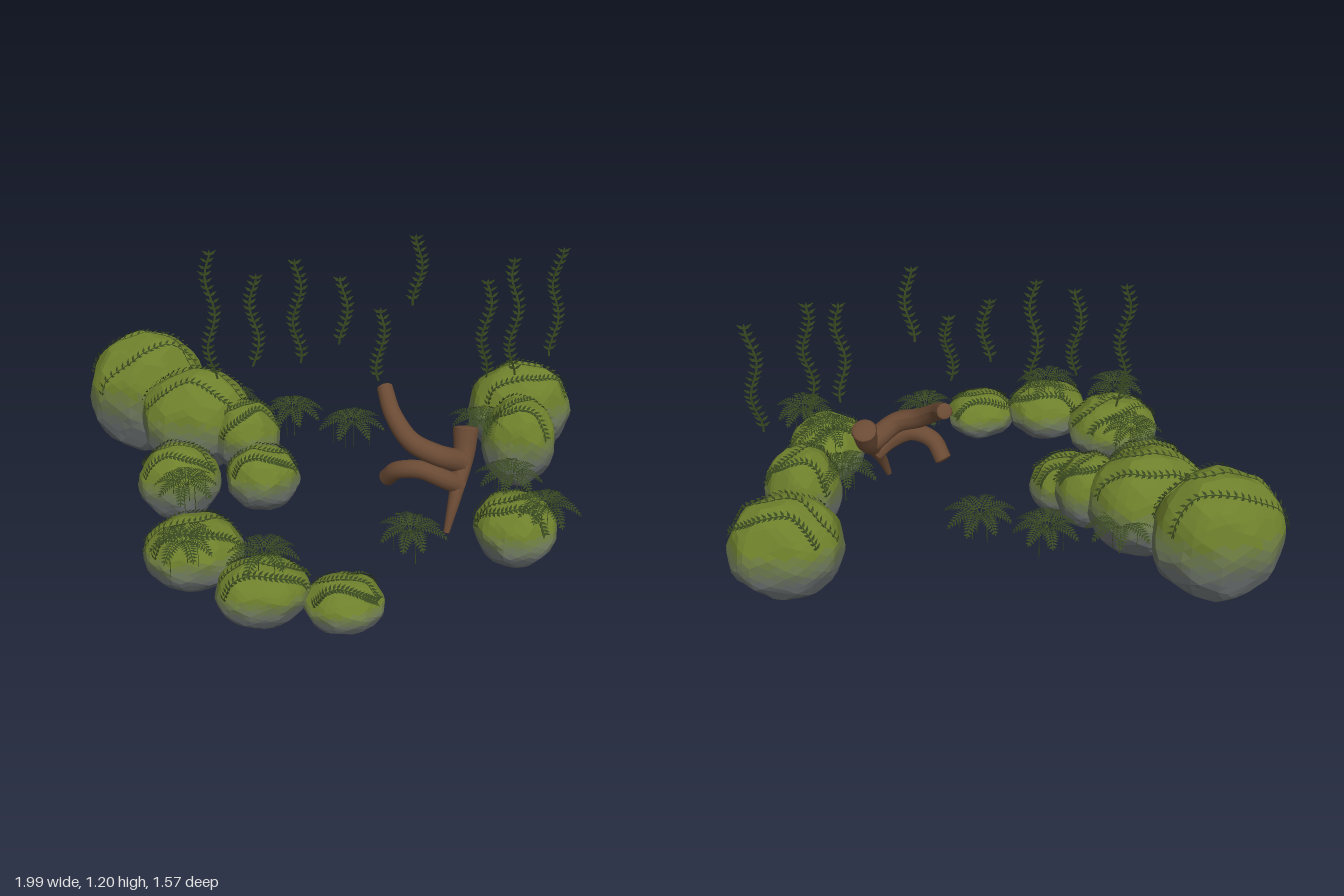
import * as THREE from 'three';

let seed = 7;
const rnd = () => ((seed = (seed * 16807) % 2147483647) / 2147483647);
const V = (x, y, z) => new THREE.Vector3(x, y, z);
const UP = V(0, 1, 0);

const LEAF = new THREE.MeshStandardMaterial({ color: 0x38481f, side: THREE.DoubleSide });
const WOOD = new THREE.MeshStandardMaterial({ color: 0x6a4a34 });
const BANDS = 6;
const rockMats = Array.from({ length: BANDS }, (_, i) => new THREE.MeshStandardMaterial({
  color: new THREE.Color(0x686d6e).lerp(new THREE.Color(0x6e802c), i / (BANDS - 1)), flatShading: true,
}));

function triangleMesh(points, material, name) {
  const geo = new THREE.BufferGeometry().setFromPoints(points);
  geo.computeVertexNormals();
  const mesh = new THREE.Mesh(geo, material);
  mesh.name = name;
  return mesh;
}

// Pointed leaf: kite of two triangles from base along dir, widened along side
function leaf(out, base, dir, side, length, width) {
  const mid = base.clone().addScaledVector(dir, length * 0.4);
  const tip = base.clone().addScaledVector(dir, length);
  const a = mid.clone().addScaledVector(side, width / 2);
  const b = mid.clone().addScaledVector(side, -width / 2);
  out.push(base, a, tip, base, tip, b);
}

// Thin flat stem between two points
function stem(out, a, b, side, width) {
  const s = side.clone().multiplyScalar(width / 2);
  const [p, q, r, t] = [a.clone().sub(s), a.clone().add(s), b.clone().add(s), b.clone().sub(s)];
  out.push(p, q, r, p, r, t);
}

// Rock: sphere cut by scattered planes, coloured from stone below to moss above
function rock(cx, cy, cz, rx, ry, rz) {
  const group = new THREE.Group();
  group.name = 'mossyRock';
  const planes = [];
  for (let i = 0; i < 46; i++) {
    const y = 1 - (2 * (i + 0.5)) / 46, a = i * 2.39996 + rnd() * 0.5, r = Math.sqrt(1 - y * y);
    planes.push({ n: V(Math.cos(a) * r, y, Math.sin(a) * r), d: 0.93 + rnd() * 0.07 });
  }
  const surface = (dir, lift = 1) => {
    let r = 1.02;
    for (const { n, d } of planes) {
      const c = n.dot(dir);
      if (c > 0.1) r = Math.min(r, d / c);
    }
    return V(dir.x * rx, dir.y * ry, dir.z * rz).multiplyScalar(r * lift).add(V(cx, cy, cz));
  };
  const pos = new THREE.IcosahedronGeometry(1, 6).attributes.position;
  const bands = Array.from({ length: BANDS }, () => []);
  for (let i = 0; i < pos.count; i += 3) {
    const tri = [0, 1, 2].map((k) => surface(V().fromBufferAttribute(pos, i + k).normalize()));
    const h = ((tri[0].y + tri[1].y + tri[2].y) / 3 - cy) / ry;
    const b = Math.floor(((h + 0.4) / 0.8) * BANDS);
    bands[Math.max(0, Math.min(BANDS - 1, b))].push(...tri);
  }
  bands.forEach((pts, i) => group.add(triangleMesh(pts, rockMats[i], 'rockBand')));

  // Leafy creepers draped over the top
  const pts = [];
  for (const offset of [-0.5, 0, 0.5]) {
    const yaw = (rnd() - 0.5) * 0.9, n = 22, reach = 1.1 + rnd() * 0.25;
    const path = [];
    for (let i = 0; i <= n; i++) {
      const t = (i / n - 0.5) * 2 * reach;
      const across = offset + 0.1 * Math.sin(t * 4 + yaw * 9);
      const dir = V(Math.sin(t), Math.cos(t), across).normalize().applyAxisAngle(UP, yaw);
      path.push(surface(dir, 1.02));
    }
    for (let i = 0; i < n; i++) {
      const along = path[i + 1].clone().sub(path[i]).normalize();
      const normal = path[i].clone().sub(V(cx, cy, cz)).normalize();
      const side = along.clone().cross(normal).normalize();
      stem(pts, path[i], path[i + 1], side, 0.005);
      for (const s of [-1, 1]) {
        const dir = along.clone().multiplyScalar(0.6).addScaledVector(side, s * 0.7).addScaledVector(normal, 0.35).normalize();
        leaf(pts, path[i], dir, dir.clone().cross(normal).normalize(), 0.027, 0.011);
      }
    }
  }
  group.add(triangleMesh(pts, LEAF, 'creepers'));
  return group;
}

// Fern: arching fronds with paired leaflets, and fine hanging roots
function fern(x, y, z) {
  const pts = [], fronds = 8, n = 13, turn = rnd() * 6;
  for (let f = 0; f < fronds; f++) {
    const a = turn + (f / fronds) * Math.PI * 2 + (rnd() - 0.5) * 0.3, reach = 0.115 + rnd() * 0.03;
    const side = V(-Math.sin(a), 0, Math.cos(a));
    const at = (t) => V(x + Math.cos(a) * reach * t, y - 0.04 + 0.13 * t - 0.14 * t * t, z + Math.sin(a) * reach * t);
    for (let i = 0; i < n; i++) {
      const t = i / n, p = at(t), q = at((i + 1) / n), along = q.clone().sub(p).normalize();
      stem(pts, p, q, side, 0.004);
      if (i < 2) continue;
      for (const s of [-1, 1]) {
        const dir = side.clone().multiplyScalar(s).addScaledVector(along, 0.45).normalize();
        leaf(pts, p, dir, along, 0.036 * Math.sin(Math.PI * (0.2 + 0.72 * t)), 0.009);
      }
    }
  }
  for (let i = 0; i < 8; i++) {
    const a = i * 0.8 + turn, r = 0.02 + rnd() * 0.07;
    const top = V(x + Math.cos(a) * r, y - 0.02, z + Math.sin(a) * r);
    stem(pts, top, top.clone().add(V(0, -0.06 - rnd() * 0.07, 0)), V(-Math.sin(a), 0, Math.cos(a)), 0.003);
  }
  return triangleMesh(pts, LEAF, 'fern');
}

// Upright wavy strand with leaves in flat pairs
function strand(x, z, y0, y1) {
  const pts = [], n = Math.round((y1 - y0) / 0.027), phase = x * 11, side = V(1, 0, 0);
  const at = (i) => {
    const y = y0 + ((y1 - y0 - 0.02) * i) / n;
    return V(x + 0.016 * Math.sin(y * 22 + phase), y, z + 0.012 * Math.sin(y * 9 + phase));
  };
  for (let i = 0; i < n; i++) {
    const p = at(i), q = at(i + 1);
    stem(pts, p, q, side, 0.008);
    stem(pts, p, q, V(0, 0, 1), 0.005);
    for (const s of [-1, 1]) {
      const dir = V(s * 0.8, 0.6, 0.15 * Math.sin(i * 2)).normalize();
      leaf(pts, q, dir, V(-dir.y, dir.x, 0), 0.034, 0.012);
    }
  }
  leaf(pts, at(n), UP, side, 0.024, 0.01);
  return triangleMesh(pts, LEAF, 'hangingStrand');
}

// Tapered branch with flat ends
function branch(points, r0, r1, name) {
  const group = new THREE.Group();
  group.name = name;
  const curve = new THREE.CatmullRomCurve3(points.map((p) => V(...p)));
  const rings = 24, sides = 12;
  const geo = new THREE.TubeGeometry(curve, rings, 1, sides);
  const pos = geo.attributes.position;
  for (let i = 0; i < pos.count; i++) {
    const u = Math.floor(i / (sides + 1)) / rings, c = curve.getPointAt(u);
    const p = V().fromBufferAttribute(pos, i).sub(c).multiplyScalar(r0 + (r1 - r0) * u).add(c);
    pos.setXYZ(i, p.x, p.y, p.z);
  }
  geo.computeVertexNormals();
  group.add(new THREE.Mesh(geo, WOOD));
  for (const [u, r, s] of [[0, r0, -1], [1, r1, 1]]) {
    const cap = new THREE.Mesh(new THREE.SphereGeometry(r, sides, 8), WOOD);
    cap.scale.z = 0.25;
    cap.position.copy(curve.getPointAt(u));
    cap.quaternion.setFromUnitVectors(V(0, 0, 1), curve.getTangentAt(u).multiplyScalar(s));
    group.add(cap);
  }
  return group;
}

export function createModel() {
  const model = new THREE.Group();
  model.name = 'rockGarden';

  // Rocks: centre, then radii
  for (const r of [
    [-0.755, 0.335, -0.595, 0.245, 0.265, 0.195], [-0.555, 0.32, -0.355, 0.225, 0.22, 0.185],
    [-0.36, 0.3, -0.23, 0.135, 0.15, 0.125], [-0.63, 0.215, -0.055, 0.16, 0.155, 0.135],
    [-0.305, 0.21, -0.055, 0.145, 0.13, 0.125], [-0.575, 0.17, 0.375, 0.185, 0.135, 0.165],
    [-0.34, 0.135, 0.6, 0.17, 0.12, 0.145], [-0.055, 0.103, 0.655, 0.145, 0.1, 0.13],
    [0.785, 0.28, -0.4, 0.215, 0.205, 0.165], [0.715, 0.295, -0.09, 0.145, 0.19, 0.135],
    [0.61, 0.185, 0.36, 0.155, 0.135, 0.165],
  ]) model.add(rock(...r));

  // Ferns: crown position
  for (const f of [
    [-0.6, 0.35, 0.14], [-0.42, 0.37, -0.5], [-0.16, 0.34, -0.44], [0.07, 0.33, -0.32], [0.56, 0.43, -0.1],
    [0.61, 0.38, 0.25], [0.7, 0.36, 0.44], [0.2, 0.31, 0.48], [-0.61, 0.33, 0.5], [-0.33, 0.32, 0.59],
  ]) model.add(fern(...f));

  // Strands: x, z, bottom, top
  for (const s of [
    [-0.48, -0.14, 0.61, 1.13], [-0.32, -0.05, 0.7, 1.07], [-0.16, -0.07, 0.69, 1.12],
    [0.01, -0.05, 0.78, 1.05], [0.14, 0.03, 0.66, 0.95], [0.29, -0.07, 0.91, 1.2],
    [0.54, 0, 0.63, 1.04], [0.66, -0.06, 0.61, 1.09], [0.85, -0.18, 0.63, 1.08],
  ]) model.add(strand(...s));

  // Driftwood
  model.add(
    branch([[0.47, 0.45, 0.06], [0.46, 0.37, 0.1], [0.43, 0.29, 0.17], [0.4, 0.2, 0.22], [0.375, 0.11, 0.25]], 0.05, 0.012, 'driftwoodTrunk'),
    branch([[0.17, 0.585, -0.05], [0.19, 0.52, 0.05], [0.25, 0.445, 0.13], [0.34, 0.405, 0.17], [0.44, 0.35, 0.13]], 0.031, 0.045, 'driftwoodUpperBranch'),
    branch([[0.165, 0.27, 0.09], [0.2, 0.33, 0.14], [0.28, 0.35, 0.18], [0.37, 0.31, 0.19], [0.43, 0.27, 0.17]], 0.033, 0.038, 'driftwoodLowerBranch'),
  );
  return model;
}
